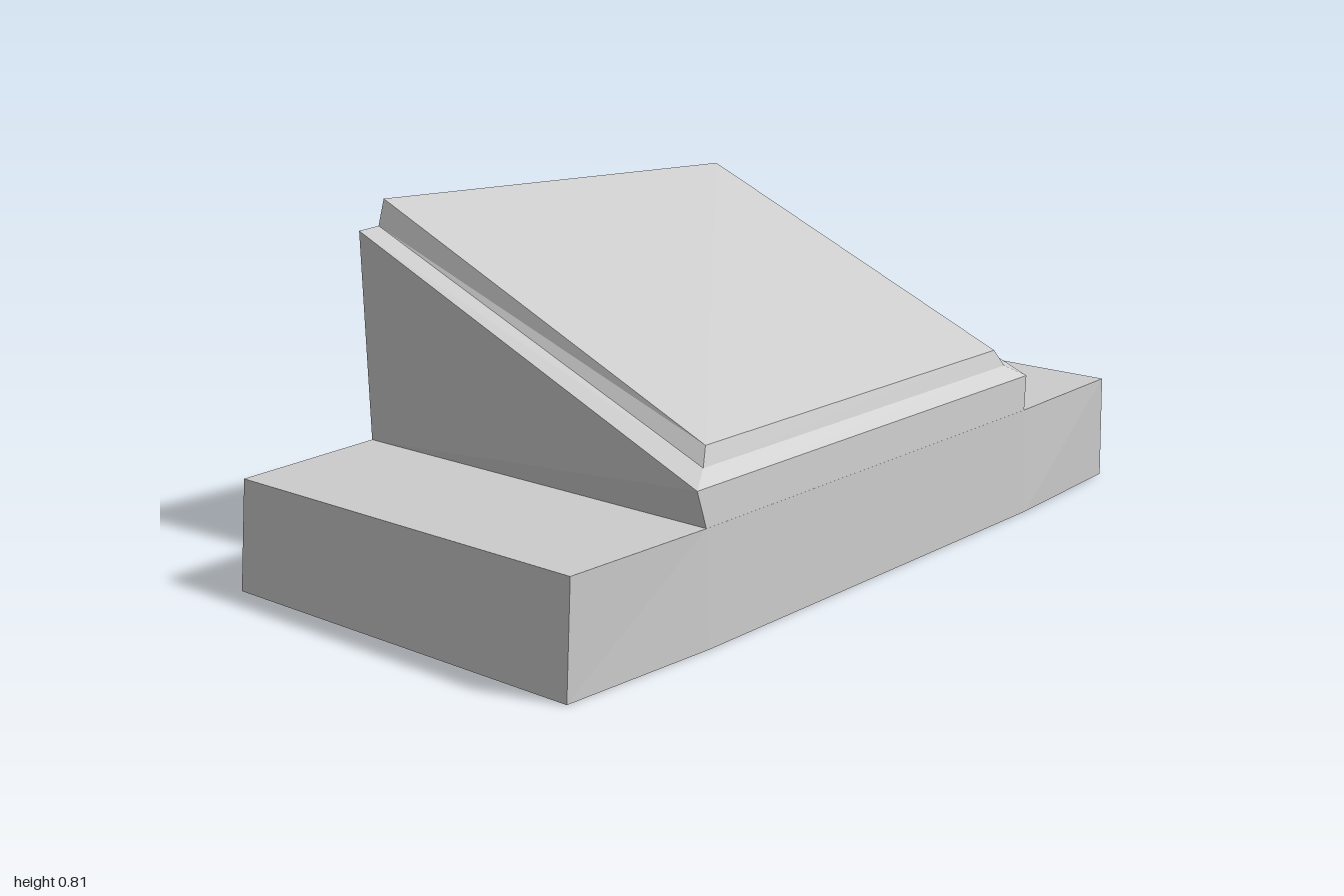
import * as THREE from 'three';

// Joins rings of corners (counter-clockwise from above, lowest first) into a flat-faced solid
function loft(rings) {
  const pos = [];
  const tri = (a, b, c) => pos.push(...a, ...b, ...c);
  for (let r = 0; r < rings.length - 1; r++) {
    const lo = rings[r], hi = rings[r + 1], n = lo.length;
    for (let i = 0; i < n; i++) {
      const j = (i + 1) % n;
      tri(lo[i], lo[j], hi[j]);
      tri(lo[i], hi[j], hi[i]);
    }
  }
  const bottom = rings[0], top = rings[rings.length - 1];
  for (let i = 1; i < top.length - 1; i++) {
    tri(top[0], top[i], top[i + 1]);
    tri(bottom[0], bottom[i + 1], bottom[i]);
  }
  const geo = new THREE.BufferGeometry();
  geo.setAttribute('position', new THREE.Float32BufferAttribute(pos, 3));
  geo.computeVertexNormals();
  return geo;
}

// Eight-cornered plan: slightly bowed front and back, straight ends
function baseRing(y, endX, endFront, midFront, endBack, midBack) {
  const m = 0.6;
  return [
    [-endX, y, endFront], [-m, y, midFront], [m, y, midFront], [endX, y, endFront],
    [endX, y, endBack], [m, y, midBack], [-m, y, midBack], [-endX, y, endBack],
  ];
}

export function createModel() {
  const model = new THREE.Group();
  model.name = 'slopedConsole';
  const grey = new THREE.MeshStandardMaterial({ color: 0xcccccc });
  grey.name = 'light grey';

  const add = (name, rings) => {
    const mesh = new THREE.Mesh(loft(rings), grey);
    mesh.name = name;
    model.add(mesh);
  };

  // Low slab with tapered ends
  add('base', [
    baseRing(0, 1, 0.49, 0.513, -0.5, -0.512),
    baseRing(0.258, 0.987, 0.492, 0.504, -0.488, -0.51),
  ]);

  // Edge of the raised panel where it meets the wedge
  const panelFoot = [
    [-0.565, 0.37, 0.465], [0.56, 0.37, 0.465], [0.56, 0.753, -0.475], [-0.56, 0.755, -0.506],
  ];

  // Wedge flaring out above the slab, with a shallow rim around the panel
  add('wedge', [
    [[-0.6, 0.255, 0.504], [0.595, 0.255, 0.504], [0.6, 0.255, -0.51], [-0.6, 0.255, -0.51]],
    [[-0.62, 0.34, 0.496], [0.613, 0.34, 0.496], [0.6, 0.75, -0.512], [-0.613, 0.75, -0.512]],
    panelFoot,
  ]);

  // Bevelled panel, its back edge cut askew
  add('slopedPanel', [
    panelFoot,
    [[-0.54, 0.41, 0.45], [0.537, 0.41, 0.45], [0.533, 0.779, -0.42], [-0.542, 0.815, -0.506]],
  ]);

  return model;
}
